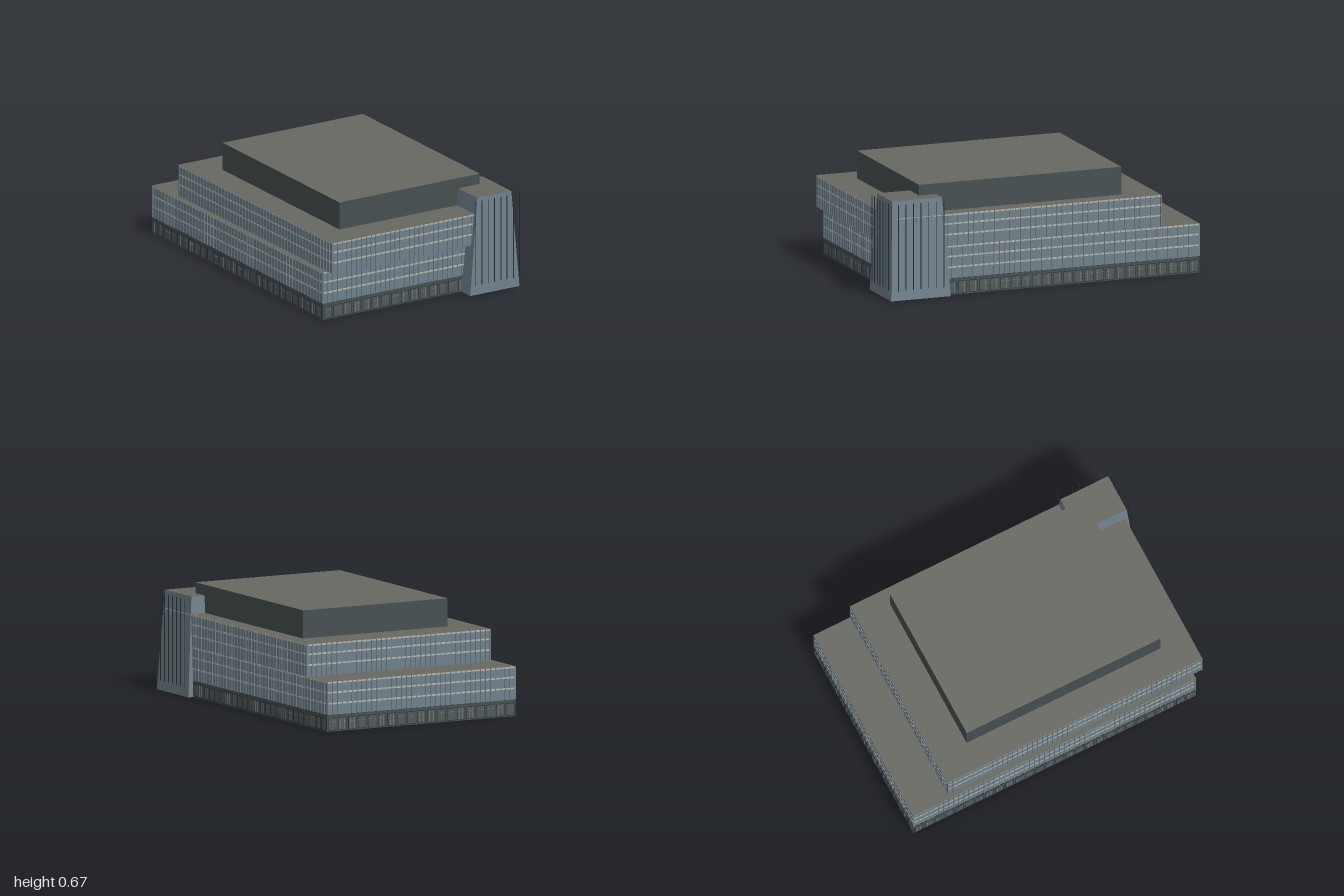
import * as THREE from 'three';
import { mergeGeometries } from 'three/addons/utils/BufferGeometryUtils.js';

const material = (name, color) => {
  const m = new THREE.MeshStandardMaterial({ color, side: THREE.DoubleSide });
  m.name = name;
  return m;
};

// Four walls of a box, without top and bottom
function shell(x0, x1, y0, y1, z0, z1) {
  const g = new THREE.BoxGeometry(x1 - x0, y1 - y0, z1 - z0);
  const index = Array.from(g.index.array);
  g.setIndex([...index.slice(0, 12), ...index.slice(24)]);
  g.clearGroups();
  return g.translate((x0 + x1) / 2, (y0 + y1) / 2, (z0 + z1) / 2);
}

function flat(x0, x1, y, z0, z1) {
  return new THREE.PlaneGeometry(x1 - x0, z1 - z0).rotateX(-Math.PI / 2)
    .translate((x0 + x1) / 2, y, (z0 + z1) / 2);
}

// The four sides of a footprint, each able to place a box in wall coordinates
function wallSides({ x0, x1, z0, z1 }) {
  const cx = (x0 + x1) / 2, cz = (z0 + z1) / 2;
  return [
    [0, cx, z1, x1 - x0], [Math.PI / 2, x1, cz, z1 - z0],
    [Math.PI, cx, z0, x1 - x0], [-Math.PI / 2, x0, cz, z1 - z0],
  ].map(([turn, x, z, length]) => ({
    length,
    box: (u, y, w, h, d) => new THREE.BoxGeometry(w, h, d)
      .translate(u, y, 0).rotateY(turn).translate(x, 0, z),
  }));
}

export function createModel() {
  const model = new THREE.Group();
  model.name = 'officeBuilding';

  const blue = material('blueGreyCladding', 0x6f808a);
  const roofGrey = material('roofGrey', 0x686862);
  const dark = material('darkSlate', 0x464e51);
  const cream = material('creamBand', 0xb9b5a8);
  const line = material('darkLine', 0x252d31);
  const glass = material('doorGlass', 0x4f585a);
  const tan = material('tanGlazingBar', 0x85837a);

  const add = (name, geometry, mat) => {
    const mesh = new THREE.Mesh(Array.isArray(geometry) ? mergeGeometries(geometry) : geometry, mat);
    mesh.name = name;
    model.add(mesh);
  };

  const lower = { x0: -0.66, x1: 0.626, z0: -0.995, z1: 0.896 };
  const upper = { x0: -0.63, x1: 0.626, z0: -0.75, z1: 0.955 };

  // Storey blocks: open walls, cream bands and slim upright fins
  function storeys(name, f, y0, y1, bandHeights) {
    add(name + 'Walls', shell(f.x0, f.x1, y0, y1, f.z0, f.z1), blue);
    const bands = [], fins = [];
    for (const side of wallSides(f)) {
      for (const y of bandHeights) bands.push(side.box(0, y, side.length + 0.004, 0.01, 0.004));
      const count = Math.round(side.length / 0.0335);
      for (let i = 0; i <= count; i++) {
        const u = (i / count - 0.5) * side.length;
        fins.push(side.box(u, (y0 + y1) / 2, 0.005, y1 - y0 - 0.002, 0.009));
      }
    }
    add(name + 'Bands', bands, cream);
    add(name + 'Fins', fins, blue);
    add(name + 'Roof', flat(f.x0 - 0.004, f.x1 + 0.004, y1, f.z0 - 0.004, f.z1 + 0.004), roofGrey);
  }
  storeys('lowerBlock', lower, 0.1, 0.3, [0.168, 0.234, 0.294]);
  storeys('upperBlock', upper, 0.3, 0.495, [0.369, 0.434, 0.489]);
  add('overhangSoffit', flat(upper.x0, upper.x1, 0.301, upper.z0, upper.z1), roofGrey);

  // Ground floor with a row of glazed doors on every side
  add('groundFloorWalls', shell(lower.x0 - 0.003, lower.x1 + 0.003, 0, 0.1,
    lower.z0 - 0.003, lower.z1 + 0.003), dark);
  const frames = [], panes = [], bars = [];
  for (const side of wallSides(lower)) {
    const count = Math.round(side.length / 0.067);
    const pitch = side.length / count;
    for (let i = 0; i < count; i++) {
      const u = (i + 0.5) * pitch - side.length / 2;
      frames.push(side.box(u, 0.044, 0.056, 0.076, 0.0075));
      panes.push(side.box(u, 0.044, 0.05, 0.069, 0.0085));
      for (const k of [-0.012, 0.012]) bars.push(side.box(u + k, 0.044, 0.0015, 0.069, 0.0095));
      bars.push(side.box(u, 0.058, 0.05, 0.0015, 0.0095));
    }
  }
  add('doorFrames', frames, line);
  add('doorPanes', panes, glass);
  add('doorBars', bars, tan);

  // Rooftop plant storey
  add('penthouseWalls', shell(-0.46, 0.53, 0.495, 0.665, -0.535, 0.765), dark);
  add('penthouseRoof', flat(-0.46, 0.53, 0.665, -0.535, 0.765), roofGrey);

  // Tapering corner tower
  const tower = shell(0.315, 0.663, 0, 0.6, 0.615, 0.998);
  const p = tower.attributes.position;
  for (let i = 0; i < p.count; i++) {
    if (p.getY(i) < 0.3) continue;
    p.setX(i, p.getX(i) < 0.5 ? 0.38 : 0.62);
    p.setZ(i, p.getZ(i) < 0.8 ? 0.655 : 0.975);
  }
  tower.computeVertexNormals();
  add('towerWalls', tower, blue);
  add('towerRoof', flat(0.38, 0.62, 0.6, 0.655, 0.975), roofGrey);

  // Upright rods standing in front of the tower's two street faces
  const rods = [];
  const rod = (x, z) => rods.push(new THREE.BoxGeometry(0.004, 0.527, 0.004).translate(x, 0.3225, z));
  for (let i = 0; i < 8; i++) rod(0.354 + i * 0.0442, 0.998);
  for (let i = 0; i < 7; i++) rod(0.663, 0.66 + i * 0.0485);
  add('towerRods', rods, line);

  return model;
}
